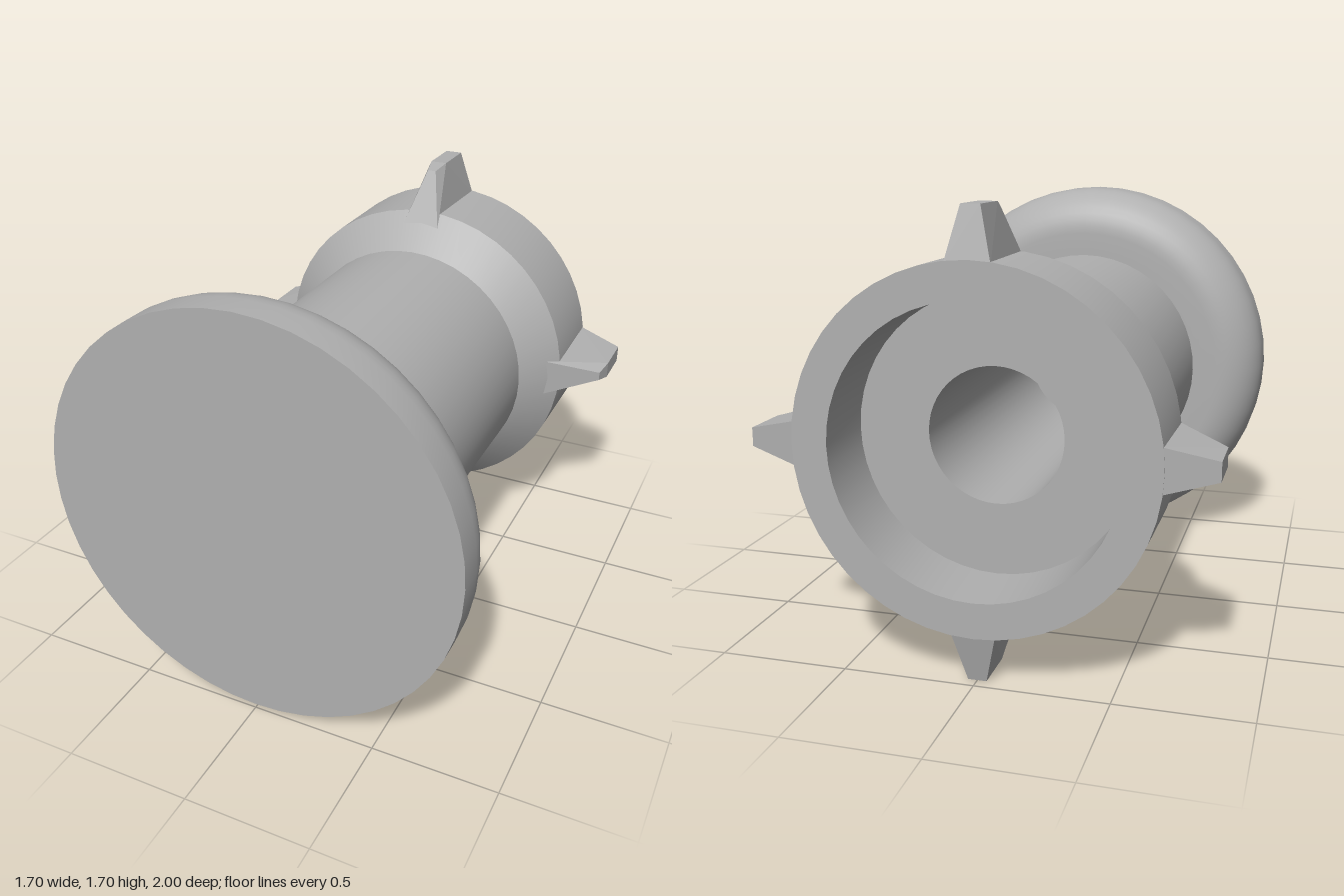
import * as THREE from 'three';
import { toCreasedNormals } from 'three/addons/utils/BufferGeometryUtils.js';
import { ConvexGeometry } from 'three/addons/geometries/ConvexGeometry.js';

const SIDES = 48;

export function createModel() {
  const grey = new THREE.MeshStandardMaterial({ color: 0xb0b0b0 });
  grey.name = 'plainGrey';

  const model = new THREE.Group();
  model.name = 'flangedPlug';
  model.position.y = 0.85;

  // Turned part about the z axis; profile points are [radius, z]
  function turned(name, profile) {
    const points = profile.map(([r, z]) => new THREE.Vector2(r, z));
    const lathe = new THREE.LatheGeometry(points, SIDES).rotateX(Math.PI / 2);
    const mesh = new THREE.Mesh(toCreasedNormals(lathe, 0.5), grey);
    mesh.name = name;
    model.add(mesh);
  }

  // Front flange with a rounded rear edge
  const flange = [[0.52, 0.69]];
  const bend = 0.203;
  for (let i = 0; i <= 10; i++) {
    const a = (i / 10) * Math.PI / 2;
    flange.push([0.63 + bend * Math.sin(a), 0.69 + bend * (1 - Math.cos(a))]);
  }
  flange.push([0.833, 1], [0, 1]);
  turned('flange', flange);

  // Straight shaft
  turned('shaft', [[0.526, -0.48], [0.526, 0.69]]);

  // Flared collar with a recess in its back
  turned('collar', [
    [0.26, -0.71], [0.535, -0.71], [0.535, -1],
    [0.67, -1], [0.67, -0.62], [0.526, -0.48],
  ]);

  // Blind bore running up the shaft
  turned('bore', [[0, 0.69], [0.26, 0.69], [0.26, -0.71]]);

  // Four tapered lugs around the collar: [half width, radius, z]
  const corners = [
    [0.083, 0.655, -1], [0.083, 0.605, -0.567],
    [0.035, 0.85, -0.955], [0.035, 0.85, -0.77], [0.018, 0.833, -0.69],
  ];
  const lugPoints = corners.flatMap(([w, r, z]) => [
    new THREE.Vector3(w, r, z), new THREE.Vector3(-w, r, z),
  ]);
  const lugGeometry = new ConvexGeometry(lugPoints);
  for (let i = 0; i < 4; i++) {
    const lug = new THREE.Mesh(lugGeometry, grey);
    lug.name = 'lug' + (i + 1);
    lug.rotation.z = i * Math.PI / 2;
    model.add(lug);
  }

  const root = new THREE.Group();
  root.name = 'model';
  root.add(model);
  return root;
}
